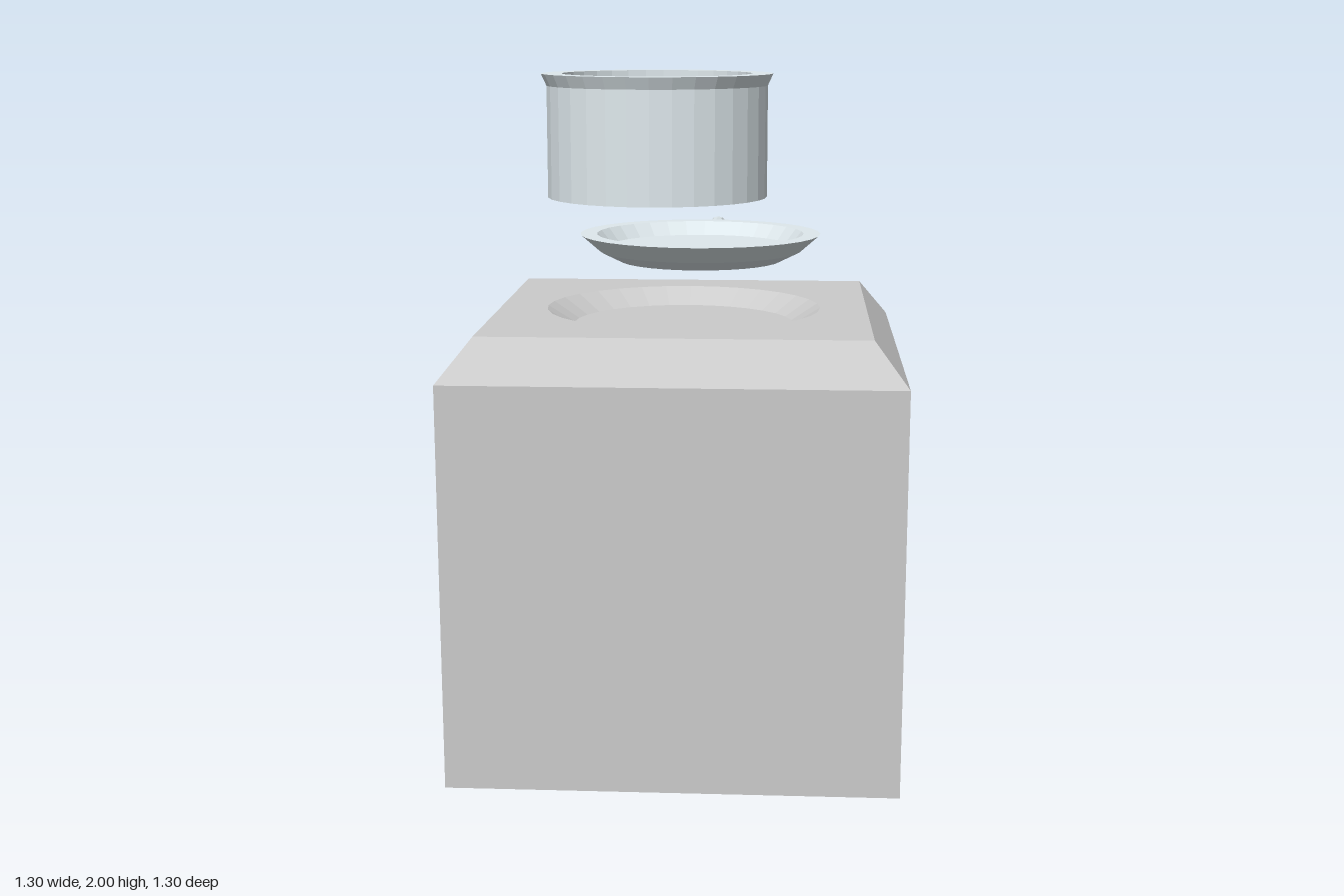
import * as THREE from 'three';

const stone = new THREE.MeshStandardMaterial({ color: 0xcccccc, flatShading: true });
const metal = new THREE.MeshStandardMaterial({ color: 0xdfe9ed, flatShading: true });

function add(parent, name, geometry, material) {
  const mesh = new THREE.Mesh(geometry, material);
  mesh.name = name;
  parent.add(mesh);
  return mesh;
}

// Profiles run from the underside axis, up the outside, then down the inside
function lathe(profile, sides = 32) {
  return new THREE.LatheGeometry(profile.map(([r, y]) => new THREE.Vector2(r, y)), sides);
}

// Tapered handle lofted through stations of [z, halfWidth, centreY, halfHeight]
function handleGeometry(stations) {
  const n = stations.length - 1;
  const geometry = new THREE.CylinderGeometry(1, 1, 1, 8, n);
  geometry.rotateX(-Math.PI / 2);
  const p = geometry.attributes.position;
  for (let i = 0; i < p.count; i++) {
    const [z, w, y, h] = stations[Math.round((0.5 - p.getZ(i)) * n)];
    p.setXYZ(i, p.getX(i) * w, y + p.getY(i) * h, z);
  }
  geometry.computeVertexNormals();
  return geometry;
}

export function createModel() {
  const model = new THREE.Group();
  model.name = 'potSet';

  // Square block with a bevelled top edge and a shallow round recess
  const block = new THREE.Group();
  block.name = 'block';
  model.add(block);
  const d = Math.SQRT2;
  const body = lathe([[0, 0], [0.65 * d, 0], [0.65 * d, 1.18], [0.555 * d, 1.3]], 4);
  add(block, 'blockBody', body.rotateY(Math.PI / 4), stone);

  const top = new THREE.Shape();
  top.moveTo(-0.555, -0.555).lineTo(0.555, -0.555).lineTo(0.555, 0.555).lineTo(-0.555, 0.555);
  top.closePath();
  top.holes.push(new THREE.Path().absarc(0, 0, 0.415, 0, Math.PI * 2, true));
  const topGeometry = new THREE.ShapeGeometry(top, 16).rotateX(-Math.PI / 2).translate(0, 1.3, 0);
  add(block, 'blockTop', topGeometry, stone);
  add(block, 'recess', lathe([[0.415, 1.3], [0.335, 1.25], [0, 1.25]]), stone);

  // Shallow dish floating above the recess
  const dish = new THREE.Group();
  dish.name = 'dish';
  model.add(dish);
  const bowl = add(dish, 'dishBowl', lathe([
    [0, 1.445], [0.245, 1.445], [0.305, 1.475], [0.362, 1.525],
    [0.312, 1.525], [0.28, 1.485], [0, 1.485],
  ]), metal);
  bowl.position.x = 0.05;

  // Handle reaching backwards with a small bulb at the tip
  const handle = add(dish, 'dishHandle', handleGeometry([
    [-0.315, 0.04, 1.502, 0.022],
    [-0.36, 0.035, 1.502, 0.021],
    [-0.5, 0.018, 1.503, 0.013],
    [-0.53, 0.019, 1.503, 0.012],
    [-0.565, 0.021, 1.502, 0.01],
    [-0.588, 0.016, 1.501, 0.008],
    [-0.6, 0.006, 1.5, 0.004],
  ]), metal);
  handle.position.x = 0.083;

  // Deep pot with a flared rim, floating above the dish
  const pot = add(model, 'pot', lathe([
    [0, 1.635], [0.33, 1.635], [0.33, 1.965], [0.346, 2],
    [0.284, 2], [0.284, 1.685], [0, 1.685],
  ]), metal);
  pot.position.set(-0.08, 0, -0.008);

  return model;
}
